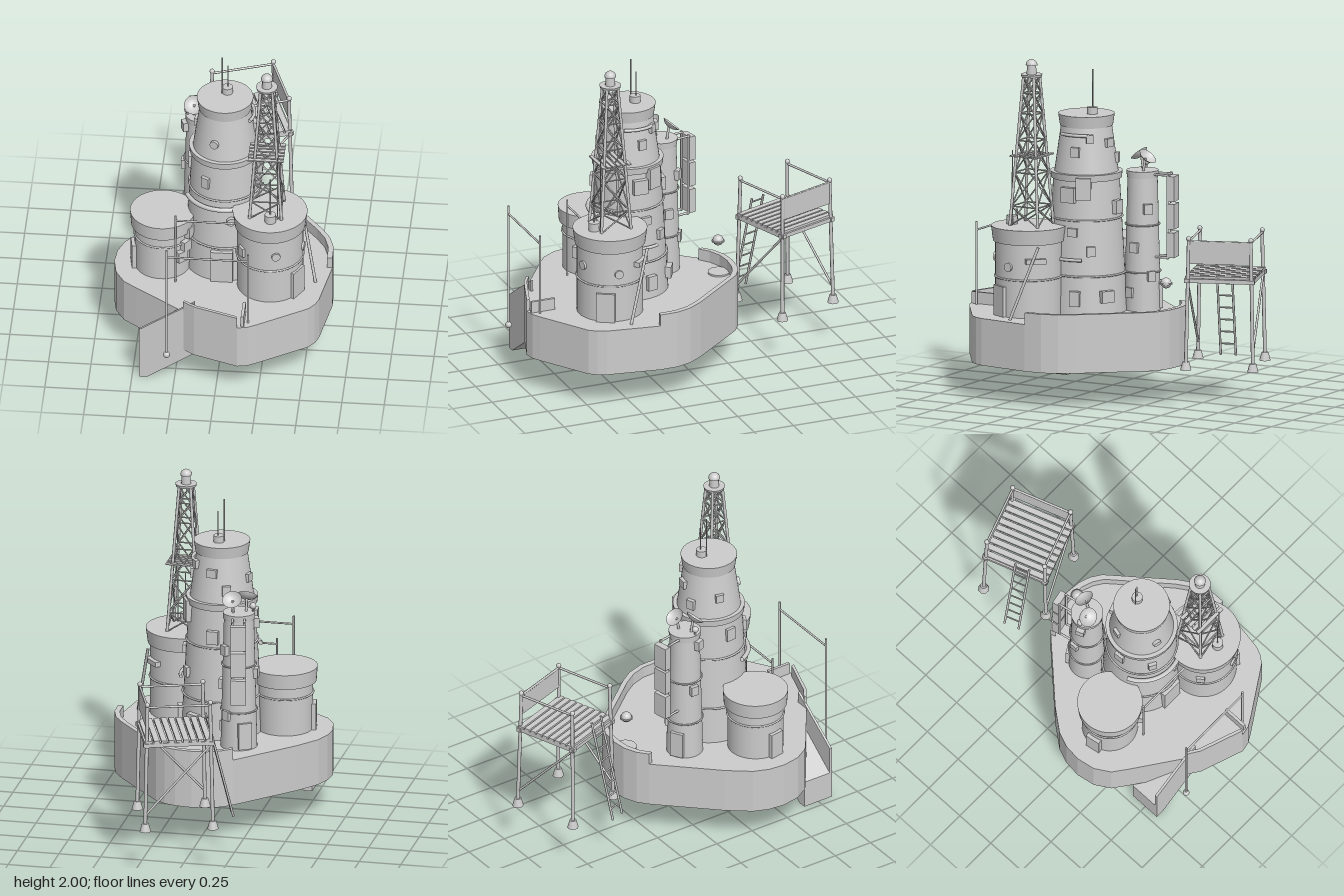
import * as THREE from 'three';

const grey = new THREE.MeshStandardMaterial({ color: 0xcccccc, side: THREE.DoubleSide });
const V = (x, y, z) => new THREE.Vector3(x, y, z);

function add(parent, name, geometry, x = 0, y = 0, z = 0) {
  const mesh = new THREE.Mesh(geometry, grey);
  mesh.name = name;
  mesh.position.set(x, y, z);
  parent.add(mesh);
  return mesh;
}
const box = (p, name, w, h, d, x, y, z) => add(p, name, new THREE.BoxGeometry(w, h, d), x, y, z);
const drum = (p, name, rTop, rBottom, y0, y1, x = 0, z = 0, sides = 48) =>
  add(p, name, new THREE.CylinderGeometry(rTop, rBottom, y1 - y0, sides), x, (y0 + y1) / 2, z);

// Round bar between two points
function rod(p, name, a, b, r = 0.006) {
  const mesh = add(p, name, new THREE.CylinderGeometry(r, r, a.distanceTo(b), 8));
  mesh.position.copy(a).lerp(b, 0.5);
  mesh.quaternion.setFromUnitVectors(V(0, 1, 0), b.clone().sub(a).normalize());
  return mesh;
}

// Plan outline [x, z] raised from y0 to y1
function slab(p, name, plan, y0, y1) {
  const shape = new THREE.Shape(plan.map(([x, z]) => new THREE.Vector2(x, -z)));
  const geo = new THREE.ExtrudeGeometry(shape, { depth: y1 - y0, bevelEnabled: false });
  geo.rotateX(-Math.PI / 2);
  return add(p, name, geo, 0, y0, 0);
}
// Low wall that follows part of the outline
function parapet(p, name, pts, k) {
  const inner = pts.map(([x, z]) => [x * k, 0.3 + (z - 0.3) * k]).reverse();
  slab(p, name, [...pts, ...inner], 0.49, 0.56);
}

// Turned group on a tower wall; angle runs from +z towards +x
function mount(tower, angle, y, r) {
  const g = new THREE.Group();
  g.rotation.y = angle;
  tower.add(g);
  const arm = new THREE.Group();
  arm.position.set(0, y, r);
  g.add(arm);
  return arm;
}
function porthole(tower, angle, y, r) {
  const m = mount(tower, angle, y, r);
  add(m, 'porthole', new THREE.CylinderGeometry(0.026, 0.026, 0.03, 20)).rotation.x = Math.PI / 2;
}
function fitting(tower, name, angle, y, r, w, h, d) {
  box(mount(tower, angle, y, r), name, w, h, d, 0, 0, 0);
}
function hoop(tower, name, r, y, tube = 0.006, arc = Math.PI * 2, start = 0) {
  const m = add(tower, name, new THREE.TorusGeometry(r, tube, 8, 56, arc), 0, y, 0);
  m.rotation.set(Math.PI / 2, 0, start);
}
function towerAt(root, name, x, z) {
  const g = new THREE.Group();
  g.name = name;
  g.position.set(x, 0, z);
  root.add(g);
  return g;
}

function buildBase(root) {
  const outline = [[-0.22, 0.83], [-0.49, 0.64], [-0.57, 0.58], [-0.625, 0.49], [-0.645, 0.38], [-0.635, 0.28],
    [-0.6, 0.19], [-0.5, 0.06], [-0.19, -0.27], [-0.13, -0.32], [-0.05, -0.355], [0.04, -0.365], [0.14, -0.355],
    [0.21, -0.33], [0.27, -0.29], [0.55, 0.05], [0.605, 0.135], [0.635, 0.23], [0.637, 0.34], [0.585, 0.66],
    [0.565, 0.71], [0.53, 0.755], [0.24, 0.94], [0.19, 0.968], [0.13, 0.98], [-0.13, 0.89]];
  slab(root, 'base', outline, 0.21, 0.49);
  parapet(root, 'rearParapet', outline.slice(8, 19), 0.95);
  parapet(root, 'frontParapet', [[0.13, 0.98], [-0.13, 0.89], [-0.2, 0.845]], 0.97);
  box(root, 'frontReturnWall', 0.018, 0.07, 0.15, 0.16, 0.525, 0.89);

  // Stair ramp with solid side wall
  const side = (pts, depth, z, name) => add(root, name, new THREE.ExtrudeGeometry(
    new THREE.Shape(pts.map(([x, y]) => new THREE.Vector2(x, y))), { depth, bevelEnabled: false }), 0, 0, z);
  side([[-0.46, 0], [-0.41, 0], [-0.13, 0.19], [-0.13, 0.4], [-0.46, 0.17]], 0.18, 0.65, 'stairRamp');
  side([[-0.46, 0], [-0.41, 0], [-0.13, 0.19], [-0.13, 0.56], [-0.46, 0.34]], 0.015, 0.83, 'stairWall');

  // Front gate frame and inner rail
  rod(root, 'gatePost', V(-0.29, 0.22, 0.92), V(-0.29, 0.985, 0.92), 0.007);
  rod(root, 'gatePost', V(0.19, 0.49, 0.92), V(0.19, 0.985, 0.92), 0.007);
  rod(root, 'gateRail', V(-0.29, 0.935, 0.92), V(0.19, 0.935, 0.92));
  add(root, 'gatePostFoot', new THREE.SphereGeometry(0.02, 12, 8), -0.29, 0.225, 0.92);
  rod(root, 'innerRail', V(-0.27, 0.935, 0.555), V(0.08, 0.935, 0.555));
  rod(root, 'innerRailPost', V(-0.27, 0.49, 0.555), V(-0.27, 0.97, 0.555));
  rod(root, 'leaningPole', V(0.55, 0.49, 0.49), V(0.46, 0.92, 0.35), 0.009);

  // Lamp float behind the towers
  add(root, 'rearLamp', new THREE.SphereGeometry(0.032, 20, 14), 0.04, 0.7, -0.275);
  drum(root, 'rearLampCollar', 0.038, 0.038, 0.692, 0.7, 0.04, -0.275, 20);
  drum(root, 'rearLampPad', 0.065, 0.065, 0.49, 0.5, 0.04, -0.28);
}

function buildMainTower(root) {
  const t = towerAt(root, 'mainTower', 0, 0.285);
  drum(t, 'lowerStage', 0.195, 0.24, 0.49, 1.29);
  drum(t, 'middleCollar', 0.212, 0.208, 1.28, 1.32);
  drum(t, 'upperStage', 0.15, 0.188, 1.32, 1.59);
  drum(t, 'cap', 0.166, 0.156, 1.59, 1.66);
  drum(t, 'mastHousing', 0.032, 0.032, 1.66, 1.7, 0.01, -0.045, 16);
  rod(t, 'tallAerial', V(-0.02, 1.66, -0.03), V(-0.02, 1.92, -0.03), 0.004);
  rod(t, 'shortAerial', V(0.012, 1.7, -0.05), V(0.012, 1.85, -0.05), 0.003);
  hoop(t, 'band', 0.212, 1.05);
  hoop(t, 'band', 0.232, 0.72);
  hoop(t, 'frontPipe', 0.232, 1.0, 0.014, 2, 0.75);
  hoop(t, 'upperPipe', 0.172, 1.55, 0.01, 1.1, -0.6);
  hoop(t, 'lowerPipe', 0.245, 0.82, 0.01, 1.1, -0.4);
  fitting(t, 'door', 0, 0.595, 0.235, 0.13, 0.21, 0.03);
  porthole(t, -0.28, 1.43, 0.172);
  porthole(t, 0.24, 0.91, 0.222);
  // [angle, y, radius, width, height, depth]
  [[-0.5, 1.16, 0.205, 0.05, 0.07, 0.03], [1.55, 1.2, 0.2, 0.09, 0.09, 0.05], [2.0, 1.24, 0.2, 0.09, 0.13, 0.05],
    [1.7, 1.45, 0.17, 0.05, 0.06, 0.03], [2.2, 1.53, 0.16, 0.04, 0.05, 0.04], [2.2, 0.87, 0.22, 0.05, 0.06, 0.04],
    [1.7, 0.98, 0.215, 0.06, 0.05, 0.03], [1.8, 0.59, 0.235, 0.06, 0.09, 0.05], [2.6, 0.6, 0.235, 0.08, 0.07, 0.06],
    [3.1, 1.12, 0.21, 0.07, 0.08, 0.04], [3.5, 1.4, 0.175, 0.05, 0.06, 0.04], [3.0, 1.5, 0.165, 0.06, 0.05, 0.03],
    [-1.5, 1.2, 0.2, 0.06, 0.08, 0.03], [-1.1, 0.8, 0.225, 0.06, 0.07, 0.04], [-1.8, 1.45, 0.17, 0.05, 0.05, 0.03]]
    .forEach(([a, y, r, w, h, d]) => fitting(t, 'wallBox', a, y, r, w, h, d));
}

function buildSideTowers(root) {
  const low = towerAt(root, 'lowTower', -0.36, 0.37);
  drum(low, 'body', 0.165, 0.165, 0.49, 0.79);
  drum(low, 'cap', 0.192, 0.186, 0.785, 0.875);
  hoop(low, 'band', 0.167, 0.715);
  fitting(low, 'door', -1.4, 0.57, 0.165, 0.09, 0.16, 0.04);
  [[0.75, 0.64], [0.95, 0.7], [1.15, 0.78]].forEach(([a, y]) => fitting(low, 'wallBox', a, y, 0.17, 0.06, 0.07, 0.05));

  const gun = towerAt(root, 'frontTower', 0.285, 0.515);
  drum(gun, 'body', 0.195, 0.195, 0.49, 0.93);
  drum(gun, 'cap', 0.22, 0.208, 0.925, 1.015);
  hoop(gun, 'band', 0.197, 0.715);
  fitting(gun, 'door', 1.05, 0.58, 0.192, 0.11, 0.18, 0.03);
  porthole(gun, 0.26, 0.82, 0.192);
  porthole(gun, 1.45, 0.79, 0.192);
  fitting(gun, 'wallBox', -0.9, 0.8, 0.195, 0.05, 0.06, 0.03);
  fitting(gun, 'wallBox', 2.3, 0.83, 0.195, 0.12, 0.03, 0.05);
  drum(gun, 'vent', 0.033, 0.033, 1.015, 1.065, 0.01, 0.105, 16);
  rod(gun, 'aerial', V(0.01, 1.06, 0.105), V(0.01, 1.32, 0.105), 0.004);
  rod(gun, 'aerial', V(0.05, 1.015, 0.08), V(0.05, 1.46, 0.08), 0.003);

  const slim = towerAt(root, 'rearTower', -0.165, 0);
  drum(slim, 'body', 0.088, 0.108, 0.49, 1.3);
  drum(slim, 'cap', 0.095, 0.092, 1.28, 1.32);
  [0.72, 1.0].forEach((y) => hoop(slim, 'band', 0.112 - (y - 0.49) * 0.022, y, 0.005));
  fitting(slim, 'door', -2.6, 0.58, 0.105, 0.08, 0.16, 0.03);
  [[1.6, 0.87], [1.3, 0.6], [2.4, 1.1], [-1.6, 0.95], [-1.2, 1.25], [2.6, 0.7]]
    .forEach(([a, y]) => fitting(slim, 'wallBox', a, y, 0.1, 0.05, 0.06, 0.035));
  // Pair of tilted dishes
  const bowl = new THREE.LatheGeometry([[0.001, 0], [0.025, 0.004], [0.044, 0.013], [0.058, 0.027]]
    .map(([x, y]) => new THREE.Vector2(x, y)), 28);
  [[0.03, -0.035, -0.7], [-0.04, 0.03, 0.7]].forEach(([x, z, tilt]) => {
    add(slim, 'dish', bowl, x, 1.39, z).rotation.x = tilt;
    rod(slim, 'dishStand', V(x, 1.31, z * 0.6), V(x, 1.395, z), 0.008);
  });
  add(slim, 'sensorBall', new THREE.SphereGeometry(0.02, 14, 10), -0.08, 1.355, 0.02);
  rod(slim, 'sensorStem', V(-0.08, 1.29, 0.02), V(-0.08, 1.35, 0.02));
  // Rear panel rack
  const rack = mount(slim, Math.PI + 0.2, 0, 0.165);
  [0.81, 1.3].forEach((y) => [-0.035, 0.035].forEach((x) =>
    rod(rack, 'rackArm', V(x, y, -0.08), V(x, y, 0.01), 0.007)));
  [-0.035, 0.035].forEach((x) => rod(rack, 'rackPost', V(x, 0.8, 0), V(x, 1.31, 0), 0.007));
  [0.885, 1.055, 1.22].forEach((y) => box(rack, 'rackPanel', 0.09, 0.15, 0.04, 0, y, 0.025));
}

// Four-legged lattice mast with lantern
function buildMast(root) {
  const m = towerAt(root, 'latticeMast', 0.265, 0.505);
  const corners = [[-1, -1], [1, -1], [1, 1], [-1, 1]];
  const at = (i, y) => {
    const h = 0.094 - (y - 1.015) * 0.067;
    return V(corners[i % 4][0] * h, y, corners[i % 4][1] * h);
  };
  const levels = [1.015, 1.13, 1.33, 1.52, 1.68, 1.8, 1.9];
  for (let i = 0; i < 4; i++) {
    rod(m, 'mastLeg', at(i, 1.015), at(i, 1.9), 0.009);
    levels.slice(0, -1).forEach((y, k) => {
      rod(m, 'crossBrace', at(i, y), at(i + 1, levels[k + 1]), 0.0045);
      rod(m, 'crossBrace', at(i + 1, y), at(i, levels[k + 1]), 0.0045);
      rod(m, 'mastTie', at(i, levels[k + 1]), at(i + 1, levels[k + 1]), 0.0045);
    });
  }
  for (let k = 0; k < 6; k++) box(m, 'mastDeckSlat', 0.21, 0.008, 0.022, 0, 1.43, -0.08 + k * 0.032);
  drum(m, 'lanternDeck', 0.064, 0.06, 1.897, 1.912, 0, 0, 20);
  drum(m, 'lantern', 0.026, 0.03, 1.91, 1.965, 0, 0, 12);
  add(m, 'lanternRoof', new THREE.SphereGeometry(0.035, 16, 6, 0, Math.PI * 2, 0, Math.PI / 2), 0, 1.965, 0);
}

// Separate slatted platform on legs
function buildPlatform(root) {
  const p = towerAt(root, 'rearPlatform', 0.065, -0.69);
  p.rotation.y = 0.337;
  const s = 0.2;
  const corner = (sx, sz, y) => V(sx * (s - (y - 0.28) * 0.02), y, sz * (s - (y - 0.28) * 0.02));
  for (const sx of [-1, 1]) for (const sz of [-1, 1]) {
    rod(p, 'platformLeg', corner(sx, sz, 0.27), corner(sx, sz, 1.03), 0.011);
    drum(p, 'platformFoot', 0.02, 0.034, 0.25, 0.3, sx * s, sz * s, 8);
    add(p, 'postCap', new THREE.SphereGeometry(0.015, 10, 8), sx * 0.186, 1.03, sz * 0.186);
  }
  for (let k = 0; k < 9; k++) box(p, 'deckSlat', 0.034, 0.014, 0.41, -0.175 + k * 0.04375, 0.803, 0);
  for (const sg of [-1, 1]) {
    box(p, 'deckBeam', 0.42, 0.024, 0.024, 0, 0.782, sg * 0.19);
    box(p, 'deckBeam', 0.024, 0.024, 0.42, sg * 0.19, 0.782, 0);
    rod(p, 'handRail', corner(-1, sg, 1.015), corner(1, sg, 1.015), 0.007);
    rod(p, 'diagonalBrace', corner(sg, sg, 0.77), corner(-sg, sg, 0.35), 0.007);
  }
  rod(p, 'handRail', corner(1, -1, 1.015), corner(1, 1, 1.015), 0.007);
  box(p, 'sidePanel', 0.012, 0.135, 0.36, 0.187, 0.95, 0);
  // Leaning ladder
  const lean = (y) => -0.19 - (0.87 - y) * 0.25;
  for (const z of [0.0, 0.09]) rod(p, 'ladderRail', V(lean(0.25), 0.25, z), V(lean(0.87), 0.87, z), 0.007);
  for (let y = 0.32; y < 0.86; y += 0.075) rod(p, 'ladderRung', V(lean(y), y, 0), V(lean(y), y, 0.09), 0.005);
}

export function createModel() {
  const root = new THREE.Group();
  root.name = 'seaFort';
  [buildBase, buildMainTower, buildSideTowers, buildMast, buildPlatform].forEach((build) => build(root));
  return root;
}
